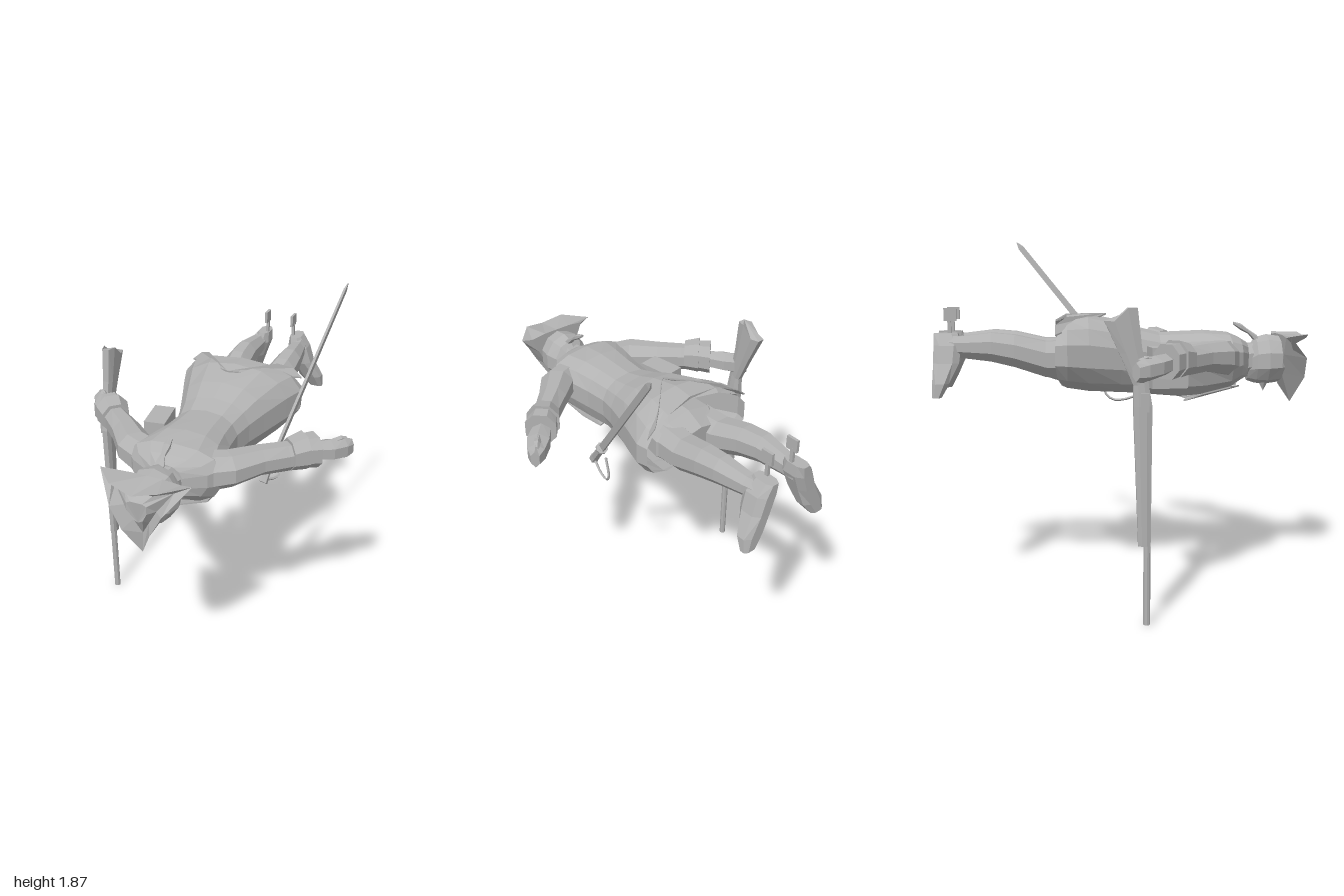
import * as THREE from 'three';

const V = (x, y, z) => new THREE.Vector3(x, y, z);
const grey = new THREE.MeshStandardMaterial({ color: 0xb2b2b2, flatShading: true, side: THREE.DoubleSide });
grey.name = 'plain grey';

// Superelliptic ring of n corners round c, spanned by u and v; bLow is the extent against v
function ring(c, u, v, a, b, n = 8, power = 1, bLow = b) {
  return Array.from({ length: n }, (_, i) => {
    const t = (i / n) * Math.PI * 2 + Math.PI / n;
    const p = (k) => Math.sign(k) * Math.abs(k) ** power;
    const s = p(Math.sin(t));
    return c.clone().addScaledVector(u, a * p(Math.cos(t))).addScaledVector(v, s * (s > 0 ? b : bLow));
  });
}

// Skin a list of equal-length rings, optionally capping the ends
function loft(rings, capStart = true, capEnd = true) {
  const n = rings[0].length, pos = [], idx = [];
  rings.forEach((r) => r.forEach((p) => pos.push(p.x, p.y, p.z)));
  for (let k = 0; k < rings.length - 1; k++)
    for (let i = 0; i < n; i++) {
      const a = k * n + i, b = k * n + ((i + 1) % n);
      idx.push(a, b, b + n, a, b + n, a + n);
    }
  const e = (rings.length - 1) * n;
  for (let i = 1; i < n - 1; i++) {
    if (capStart) idx.push(0, i + 1, i);
    if (capEnd) idx.push(e, e + i, e + i + 1);
  }
  const g = new THREE.BufferGeometry();
  g.setAttribute('position', new THREE.Float32BufferAttribute(pos, 3));
  g.setIndex(idx);
  const flat = g.toNonIndexed();
  flat.computeVertexNormals();
  return flat;
}

// Limb from rows [x, y, z, halfWidth, halfHeight] with a fixed ring plane
const limb = (rows, u, v, n = 8, power = 1) =>
  loft(rows.map(([x, y, z, a, b]) => ring(V(x, y, z), u, v, a, b, n, power)));

const X = V(1, 0, 0), Y = V(0, 1, 0), Z = V(0, 0, 1), BACK = V(-1, 0, 0);

export function createModel() {
  const model = new THREE.Group();
  model.name = 'soldier';
  const add = (name, geometry, parent = model) => {
    const m = new THREE.Mesh(geometry, grey);
    m.name = name;
    parent.add(m);
    return m;
  };
  const pair = (name, geometry) => {
    add(name + 'Left', geometry);
    add(name + 'Right', geometry).scale.x = -1;
  };

  // Coat: rows [z, halfWidth, backHeight, frontHeight, middle]
  const coat = [
    [0.66, 0.09, 1.33, 1.14, 1.25], [0.61, 0.2, 1.36, 1.12, 1.26], [0.55, 0.25, 1.385, 1.08, 1.26],
    [0.42, 0.21, 1.395, 1.045, 1.25], [0.3, 0.185, 1.39, 1.035, 1.24], [0.18, 0.175, 1.385, 1.045, 1.24],
    [0.08, 0.2, 1.41, 1.055, 1.25], [-0.03, 0.24, 1.45, 1.06, 1.26], [-0.2, 0.305, 1.485, 1.07, 1.28],
    [-0.31, 0.345, 1.475, 1.09, 1.29],
  ].map(([z, w, top, low, mid]) => ring(V(0, mid, z), BACK, Y, w, top - mid, 14, 0.85, mid - low));
  const hem = coat[coat.length - 1].map((p) => V(p.x * 0.96, 1.27 + (p.y - 1.27) * 0.93, -0.31 - 0.2 * Math.abs(p.x) ** 1.1));
  add('coat', loft([...coat, hem], true, false));

  // Breeches seat inside the open coat skirt
  add('seat', limb([[0, 1.26, -0.12, 0.2, 0.14], [0, 1.25, -0.3, 0.22, 0.14], [0, 1.24, -0.4, 0.17, 0.1]], BACK, Y, 10));

  // Folded coat tails at the back and lapels on the chest
  const plate = (pts) => loft([pts, pts.map((p) => p.clone().add(V(0, 0.008, 0)))]);
  pair('tailTurnback', plate([V(0, 1.478, -0.1), V(0.2, 1.468, -0.31), V(0.27, 1.43, -0.37), V(0.32, 1.385, -0.37)]));
  pair('lapel', plate([V(0.04, 1.09, 0.62), V(0.17, 1.1, 0.55), V(0.15, 1.06, 0.4), V(0.1, 1.02, 0.31), V(0.02, 1.02, 0.33)]));

  // Arms spread out, turned-back cuffs and hands
  const across = V(1, 0, 1).normalize();
  pair('sleeve', limb([
    [0.15, 1.255, 0.52, 0.1, 0.1], [0.25, 1.27, 0.48, 0.095, 0.09], [0.36, 1.28, 0.365, 0.078, 0.075],
    [0.46, 1.275, 0.275, 0.068, 0.075], [0.55, 1.275, 0.2, 0.062, 0.07],
  ], across, Y));
  pair('upperCuff', limb([[0.475, 1.285, 0.265, 0.076, 0.08], [0.53, 1.29, 0.205, 0.09, 0.095]], across, Y, 8, 0.9));
  pair('lowerCuff', limb([[0.52, 1.285, 0.215, 0.075, 0.085], [0.575, 1.28, 0.16, 0.085, 0.09]], across, Y, 8, 0.9));
  pair('hand', limb([
    [0.56, 1.27, 0.17, 0.05, 0.05], [0.63, 1.26, 0.1, 0.065, 0.055],
    [0.685, 1.25, 0.04, 0.05, 0.058], [0.715, 1.245, 0.005, 0.025, 0.045],
  ], across, Y, 6));
  pair('thumb', limb([[0.62, 1.29, 0.11, 0.02, 0.02], [0.67, 1.3, 0.05, 0.018, 0.018], [0.69, 1.295, 0.02, 0.01, 0.01]], across, Y, 5));

  // Legs and boots, toes pointing down and outward
  pair('leg', limb([
    [0.11, 1.25, -0.28, 0.1, 0.11], [0.12, 1.255, -0.42, 0.092, 0.1], [0.135, 1.3, -0.58, 0.08, 0.09],
    [0.137, 1.32, -0.7, 0.07, 0.08], [0.125, 1.32, -0.86, 0.052, 0.06], [0.115, 1.325, -0.95, 0.05, 0.06],
  ], BACK, Y));
  pair('boot', limb([
    [0.1, 1.39, -0.935, 0.035, 0.065], [0.12, 1.33, -0.925, 0.06, 0.075], [0.15, 1.24, -0.93, 0.058, 0.07],
    [0.195, 1.14, -0.955, 0.068, 0.045], [0.225, 1.07, -0.975, 0.04, 0.025],
  ], X, Z, 8, 0.75));

  // Spurs standing off the heels
  const stem = new THREE.BoxGeometry(0.016, 0.09, 0.018).translate(0.08, 1.42, -0.92);
  pair('spurStem', stem);
  pair('spurPlate', new THREE.BoxGeometry(0.015, 0.065, 0.065).translate(0.08, 1.485, -0.915));

  // Neck, head with face toward -y, nose and tied hair
  add('neck', limb([[0, 1.23, 0.58, 0.1, 0.1], [0, 1.23, 0.64, 0.095, 0.1], [0, 1.24, 0.72, 0.08, 0.09]], BACK, Y));
  add('head', limb([
    [0, 1.21, 0.665, 0.07, 0.09], [0, 1.23, 0.71, 0.11, 0.125], [0, 1.235, 0.77, 0.13, 0.135],
    [0, 1.235, 0.84, 0.115, 0.125], [0, 1.23, 0.88, 0.08, 0.09],
  ], BACK, Y, 10));
  add('nose', new THREE.ConeGeometry(0.03, 0.06, 4).rotateX(Math.PI).translate(0, 1.09, 0.76));
  add('hairTie', limb([[0, 1.34, 0.72, 0.03, 0.025], [0, 1.385, 0.67, 0.012, 0.012], [0, 1.41, 0.63, 0.02, 0.018], [0, 1.43, 0.59, 0.012, 0.008]], X, Y, 6));

  // Three-cornered hat: half rings mirrored, from head opening over the rim to the crown
  const mirrored = (half) => [...half, ...half.slice(1, -1).reverse().map(([x, y, z]) => [-x, y, z])].map((p) => V(...p));
  add('hat', loft([
    mirrored([[0, 1.1, 0.84], [0.08, 1.17, 0.84], [0.13, 1.27, 0.84], [0.17, 1.36, 0.84], [0.08, 1.37, 0.84], [0, 1.37, 0.84]]),
    mirrored([[0, 1.0, 0.91], [0.07, 1.14, 0.97], [0.13, 1.25, 0.965], [0.23, 1.37, 0.85], [0.12, 1.375, 0.97], [0, 1.35, 0.995]]),
    mirrored([[0, 1.1, 0.9], [0.04, 1.17, 0.91], [0.08, 1.24, 0.91], [0.15, 1.33, 0.87], [0.07, 1.325, 0.92], [0, 1.32, 0.92]]),
    mirrored([[0, 1.18, 0.94], [0.03, 1.2, 0.95], [0.05, 1.24, 0.95], [0.05, 1.28, 0.95], [0.03, 1.29, 0.95], [0, 1.29, 0.95]]),
  ]));

  // Cartridge box on the right hip
  const box = add('cartridgeBox', new THREE.BoxGeometry(0.11, 0.21, 0.19));
  box.position.set(-0.25, 1.22, 0.205);
  box.rotation.y = 0.15;

  // Musket hanging upright: bent stock and thin barrel
  const musket = new THREE.Group();
  musket.name = 'musket';
  model.add(musket);
  const stock = [
    [1.54, 1.48, 0.015, -0.14, 0.032], [1.36, 1.33, 0.035, -0.07, 0.027], [1.2, 1.18, 0.065, -0.005, 0.022],
    [1.08, 1.08, 0.085, -0.005, 0.025], [0.4, 0.4, 0.08, 0.02, 0.02],
  ].map(([yFront, yBack, zFront, zBack, w]) =>
    [[-0.6, zFront, yFront], [0.6, zFront, yFront], [1, 0.7 * zFront + 0.3 * zBack, yFront], [1, 0.3 * zFront + 0.7 * zBack, yBack],
      [0.6, zBack, yBack], [-0.6, zBack, yBack], [-1, 0.3 * zFront + 0.7 * zBack, yBack], [-1, 0.7 * zFront + 0.3 * zBack, yFront],
    ].map(([k, z, y]) => V(-0.66 + k * w, y, z)));
  add('stock', loft(stock), musket);
  add('barrel', new THREE.CylinderGeometry(0.019, 0.017, 1.1, 8).translate(-0.66, 0.55, 0.063), musket);
  add('flintlock', new THREE.BoxGeometry(0.015, 0.09, 0.04).translate(-0.685, 1.1, 0.05), musket);

  // Sword at the left side, built along +y then aimed at its tip
  const sword = new THREE.Group();
  sword.name = 'sword';
  const start = V(0.29, 0.995, 0.115), aim = V(0.48, 1.87, -0.59).sub(start), length = aim.length();
  const up = aim.clone().normalize();
  const side = X.clone().addScaledVector(up, -X.dot(up)).normalize();
  sword.quaternion.setFromRotationMatrix(new THREE.Matrix4().makeBasis(side, up, side.clone().cross(up)));
  sword.position.copy(start);
  model.add(sword);
  add('grip', limb([[0, 0, 0, 0.026, 0.028], [0, 0.04, 0, 0.02, 0.024], [0, 0.2, 0, 0.018, 0.022]], X, Z, 6), sword);
  add('blade', limb([[0, 0.18, 0, 0.011, 0.026], [0, length - 0.04, 0, 0.008, 0.022], [0, length, 0, 0.002, 0.003]], X, Z, 4), sword);
  add('crossguard', new THREE.CylinderGeometry(0.032, 0.032, 0.015, 8).translate(0, 0.19, 0), sword);
  // Knuckle bow curving below the grip
  const bow = new THREE.CatmullRomCurve3([V(0.3, 1.0, 0.09), V(0.32, 0.975, 0.02), V(0.335, 0.975, -0.05), V(0.35, 1.03, -0.095), V(0.34, 1.12, -0.06)]);
  add('knuckleBow', new THREE.TubeGeometry(bow, 10, 0.007, 4));

  return model;
}
